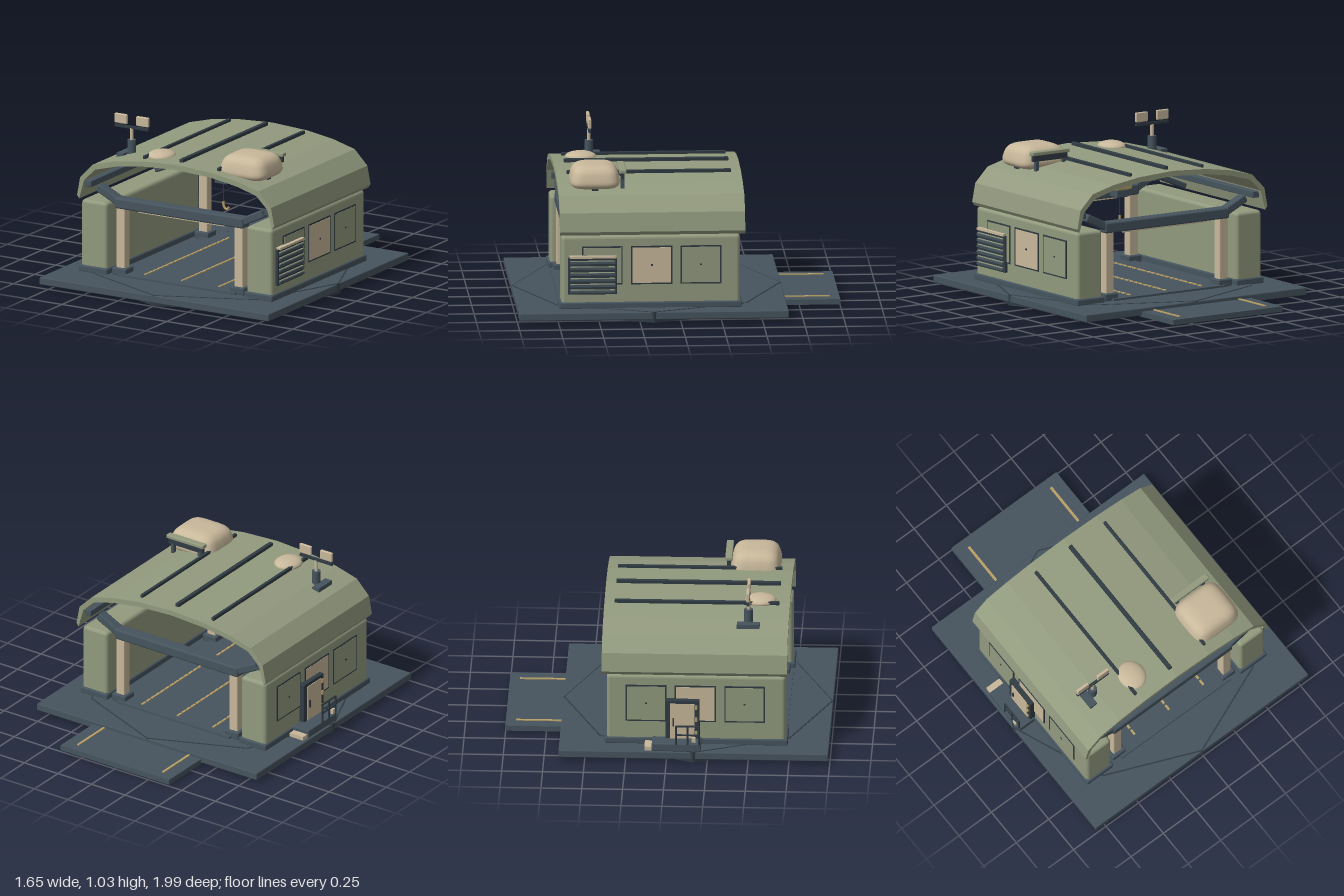
import * as THREE from 'three';
import { RoundedBoxGeometry } from 'three/addons/geometries/RoundedBoxGeometry.js';

const mat = (name, color) => {
  const m = new THREE.MeshStandardMaterial({ color });
  m.name = name;
  return m;
};

export function createModel() {
  const root = new THREE.Group();
  root.name = 'hangar';
  const slate = mat('slate', 0x46545e), trim = mat('darkTrim', 0x303b43);
  const green = mat('sageGreen', 0x929a7e), tan = mat('sand', 0xc8b89b), gold = mat('gold', 0xb89f66);

  const add = (name, geo, m, x = 0, y = 0, z = 0) => {
    const mesh = new THREE.Mesh(geo, m);
    mesh.name = name;
    mesh.position.set(x, y, z);
    root.add(mesh);
    return mesh;
  };
  // box given by its lower and upper limits, optionally rounded
  const box = (name, m, x0, x1, y0, y1, z0, z1, r = 0) => {
    const s = [x1 - x0, y1 - y0, z1 - z0];
    const g = r ? new RoundedBoxGeometry(...s, 2, r) : new THREE.BoxGeometry(...s);
    return add(name, g, m, (x0 + x1) / 2, (y0 + y1) / 2, (z0 + z1) / 2);
  };
  const cyl = (name, m, r, y0, y1, x, z, n = 16) =>
    add(name, new THREE.CylinderGeometry(r, r, y1 - y0, n), m, x, (y0 + y1) / 2, z);
  // square bar between two points in the x-y plane
  const bar = (name, m, a, b, z, t, d) => {
    const dx = b[0] - a[0], dy = b[1] - a[1];
    const mesh = add(name, new RoundedBoxGeometry(Math.hypot(dx, dy), t, d, 2, 0.01), m,
      (a[0] + b[0]) / 2, (a[1] + b[1]) / 2, z);
    mesh.rotation.z = Math.atan2(dy, dx);
    return mesh;
  };
  const octagon = (r, h) => {
    const g = new THREE.CylinderGeometry(r, r, h, 8).toNonIndexed();
    g.computeVertexNormals();
    return g;
  };

  // Base plate, octagonal foundation and rear ramp
  box('basePlate', slate, -0.82, 0.82, 0.018, 0.065, -0.66, 0.99, 0.006);
  add('foundationRim', octagon(0.825, 0.0665), trim, 0, 0.03325, 0.165);
  add('foundation', octagon(0.816, 0.066), slate, 0, 0.035, 0.165);
  box('ramp', slate, -0.405, 0.405, 0.01, 0.043, -1, -0.6);
  for (const s of [-1, 1]) box('rampStrip', gold, s * 0.317 - 0.008, s * 0.317 + 0.008, 0.043, 0.049, -0.94, -0.66);

  // Bay floor with dashed guide strips
  box('bayFloor', slate, -0.42, 0.42, 0.06, 0.08, -0.38, 0.73);
  for (const x of [-0.265, 0, 0.265])
    for (let i = 0; i < 20; i++) {
      const z = -0.33 + i * 0.05;
      box('guideDash', gold, x - 0.007, x + 0.007, 0.08, 0.086, z, z + 0.038);
    }

  // Side buildings with skirting and framed wall panels
  for (const s of [-1, 1]) {
    const cx = s * 0.591;
    box('sideBuilding', green, cx - 0.093, cx + 0.093, 0.075, 0.517, -0.37, 0.725, 0.022);
    box('skirting', slate, cx - 0.102, cx + 0.102, 0.06, 0.104, -0.382, 0.738, 0.01);
    [[0.35, 0.6, green], [0.045, 0.3, tan], [-0.255, -0.005, green]].forEach(([z0, z1, m]) => {
      const x = s * 0.686;
      box('panelFrame', trim, x - 0.003, x + 0.003, 0.213, 0.452, z0, z1);
      box('wallPanel', m, x - 0.005, x + 0.005, 0.222, 0.443, z0 + 0.009, z1 - 0.009);
      const k = (z0 + z1) / 2;
      box('panelKnob', trim, x - 0.009, x + 0.009, 0.329, 0.339, k - 0.006, k + 0.006);
    });
    // Long eave rails
    box('eaveRail', slate, s * 0.642 - 0.023, s * 0.642 + 0.023, 0.597, 0.637, -0.37, 0.71, 0.005);
  }

  // Louvred vent on the left wall
  box('ventBody', trim, 0.68, 0.702, 0.155, 0.385, 0.385, 0.685, 0.005);
  box('ventHood', tan, 0.68, 0.715, 0.382, 0.396, 0.39, 0.675);
  for (let i = 0; i < 6; i++) {
    const y = 0.168 + i * 0.036;
    box('ventSlat', slate, 0.69, 0.716, y, y + 0.014, 0.395, 0.675);
    box('ventSlatEdge', green, 0.7, 0.711, y + 0.014, y + 0.019, 0.4, 0.67);
  }

  // Doorway, landing, step and railing on the right wall
  box('doorFrame', trim, -0.72, -0.68, 0.1, 0.367, -0.01, 0.2, 0.005);
  box('door', tan, -0.724, -0.71, 0.115, 0.345, 0.02, 0.17);
  for (const y of [0.14, 0.23, 0.31]) box('doorHinge', gold, -0.73, -0.715, y, y + 0.025, 0.172, 0.186);
  box('doorHandle', trim, -0.733, -0.72, 0.2, 0.25, 0.035, 0.045);
  box('landing', slate, -0.81, -0.69, 0.065, 0.115, -0.09, 0.21, 0.006);
  box('step', tan, -0.8, -0.7, 0.065, 0.09, -0.135, -0.09);
  for (const z of [0.06, 0.13, 0.2]) cyl('railPost', trim, 0.006, 0.11, 0.235, -0.807, z, 8);
  for (const y of [0.17, 0.228]) box('handRail', trim, -0.812, -0.802, y, y + 0.008, 0.055, 0.205);
  box('railLamp', tan, -0.819, -0.803, 0.13, 0.16, 0.155, 0.18);

  // Portal frames at both ends
  for (const z of [0.66, -0.31]) {
    for (const s of [-1, 1]) {
      const x = s * 0.422;
      box('post', tan, x - 0.03, x + 0.03, 0.1, 0.5, z - 0.03, z + 0.03, 0.006);
      box('postFoot', slate, x - 0.05, x + 0.05, 0.065, 0.112, z - 0.05, z + 0.05, 0.008);
      bar('portalBrace', slate, [s * 0.435, 0.52], [s * 0.592, 0.597], z, 0.05, 0.065);
    }
    box('portalBeam', slate, -0.46, 0.46, 0.485, 0.552, z - 0.04, z + 0.04, 0.012);
    box('beamStrip', tan, -0.31, 0.31, 0.473, 0.487, z - 0.01, z + 0.01);
  }

  // Hoist gantry with hook
  const hz = 0.17;
  box('gantryBeam', green, -0.245, 0.245, 0.672, 0.728, hz - 0.04, hz + 0.04);
  for (const s of [-1, 1]) {
    bar('gantryBrace', slate, [s * 0.27, 0.695], [s * 0.482, 0.605], hz, 0.036, 0.05);
    box('gantryJoint', slate, s * 0.262 - 0.022, s * 0.262 + 0.022, 0.67, 0.72, hz - 0.045, hz + 0.045, 0.006);
    box('gantryCap', gold, s * 0.262 - 0.016, s * 0.262 + 0.016, 0.72, 0.748, hz - 0.03, hz + 0.03);
    box('gantryHanger', slate, s * 0.262 - 0.012, s * 0.262 + 0.012, 0.745, 0.81, hz - 0.02, hz + 0.02);
  }
  box('hoistTrolley', gold, -0.057, 0.057, 0.638, 0.686, hz - 0.055, hz + 0.055, 0.008);
  box('hoistMotor', slate, -0.045, 0.045, 0.59, 0.638, hz - 0.04, hz + 0.04, 0.006);
  cyl('hoistCable', trim, 0.004, 0.465, 0.59, 0, hz, 8);
  const hookPath = new THREE.CatmullRomCurve3([[0, 0.475], [0, 0.45], [0.012, 0.427], [0.03, 0.426], [0.04, 0.445]]
    .map(([x, y]) => new THREE.Vector3(x, y, hz)));
  add('hook', new THREE.TubeGeometry(hookPath, 16, 0.008, 8), gold);

  // Faceted arched roof
  const outer = [[0.705, 0.545], [0.683, 0.66], [0.592, 0.752], [0.44, 0.793], [0.25, 0.822], [0, 0.836]];
  const inner = [[0, 0.803], [0.25, 0.79], [0.43, 0.762], [0.575, 0.722], [0.655, 0.645], [0.69, 0.523]];
  const mirror = (p) => p.filter(([x]) => x > 0).map(([x, y]) => [-x, y]).reverse();
  const section = [...outer, ...mirror(outer), ...mirror(inner), ...inner];
  const roofShape = new THREE.Shape(section.map(([x, y]) => new THREE.Vector2(x, y)));
  add('roof', new THREE.ExtrudeGeometry(roofShape, { depth: 1.135, bevelEnabled: false }), green, 0, 0, -0.4);
  for (const [x, y, w] of [[-0.265, 0.815, 0.01], [0, 0.832, 0.013], [0.265, 0.815, 0.01]])
    box('roofRail', trim, x - w, x + w, y, y + 0.024, -0.337, 0.67, 0.004);

  // Low dome
  const dome = add('dome', new THREE.SphereGeometry(1, 28, 16), tan, -0.208, 0.825, 0.555);
  dome.scale.set(0.084, 0.034, 0.096);
  const domeBase = cyl('domeBase', slate, 0.065, 0.79, 0.822, -0.208, 0.555, 24);
  domeBase.scale.z = 1.12;

  // Soft-cornered roof tank, narrowing towards the top
  const tankGeo = new THREE.SphereGeometry(1, 40, 24);
  const p = tankGeo.attributes.position;
  const soft = (v, e) => Math.sign(v) * Math.abs(v) ** e;
  for (let i = 0; i < p.count; i++) {
    const y = p.getY(i), r = Math.hypot(p.getX(i), p.getZ(i));
    const a = Math.atan2(p.getZ(i), p.getX(i));
    const t = soft(y, 0.65), k = soft(r, 0.5) * (0.96 - 0.12 * t);
    p.setXYZ(i, 0.168 * k * soft(Math.cos(a), 0.45), 0.075 * t, 0.154 * k * soft(Math.sin(a), 0.45));
  }
  tankGeo.computeVertexNormals();
  add('roofTank', tankGeo, tan, 0.404, 0.845, 0.507);
  for (const x of [0.27, 0.52]) box('tankFoot', trim, x - 0.015, x + 0.015, 0.725, 0.79, 0.49, 0.53);
  box('tankBarTop', green, 0.265, 0.54, 0.872, 0.896, 0.318, 0.362, 0.006);
  box('tankBarGrille', trim, 0.275, 0.53, 0.835, 0.873, 0.33, 0.35);
  for (const x of [0.3, 0.5]) box('tankBarLeg', slate, x - 0.01, x + 0.01, 0.765, 0.84, 0.328, 0.352);

  // Floodlight mast
  box('mastFoot', slate, -0.53, -0.48, 0.765, 0.795, 0.42, 0.56);
  box('mastPlate', slate, -0.5, -0.43, 0.765, 0.79, 0.465, 0.515);
  cyl('mastSocket', slate, 0.027, 0.775, 0.872, -0.462, 0.49);
  cyl('mastPole', tan, 0.011, 0.87, 0.945, -0.462, 0.49, 12);
  box('mastCrossbar', trim, -0.582, -0.342, 0.941, 0.957, 0.482, 0.498);
  for (const x of [-0.538, -0.383]) {
    box('lampBracket', trim, x - 0.01, x + 0.01, 0.955, 0.968, 0.484, 0.496);
    box('floodlight', tan, x - 0.044, x + 0.044, 0.965, 1.026, 0.48, 0.5, 0.006);
  }
  return root;
}
